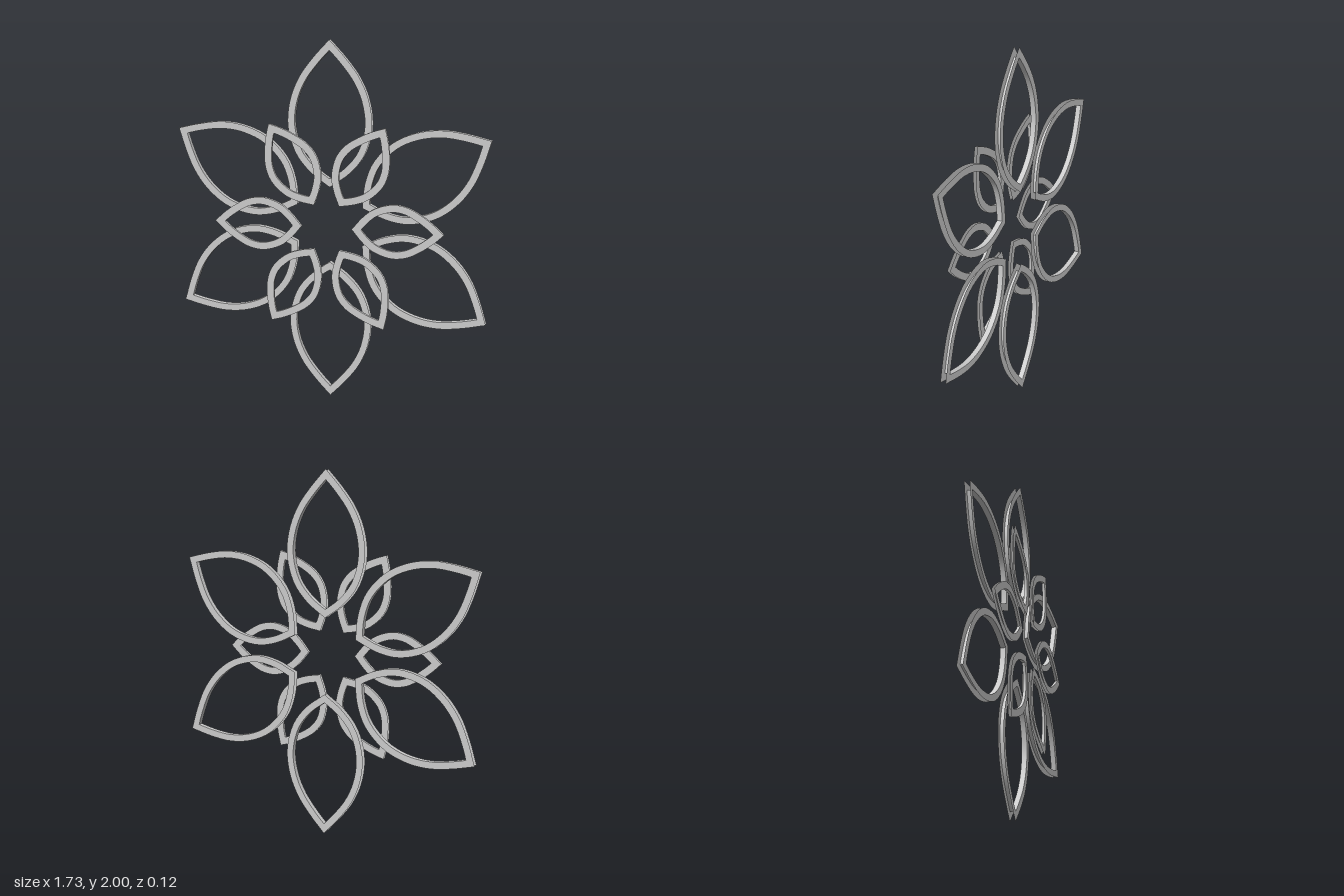
import * as THREE from 'three';
import { toCreasedNormals } from 'three/addons/utils/BufferGeometryUtils.js';

const material = new THREE.MeshStandardMaterial({ color: 0xcccccc, side: THREE.DoubleSide });

// Closed outer and inner loops of a pointed petal lying along +x,
// from a half profile of [distance from centre, half width].
function petalLoops(profile, band) {
  const curve = new THREE.CatmullRomCurve3(profile.map(([r, w]) => new THREE.Vector3(r, w, 0)));
  const n = 28;
  const outer = [], inner = [];
  for (let i = 0; i <= n; i++) {
    const p = curve.getPointAt(i / n), t = curve.getTangentAt(i / n);
    const q = new THREE.Vector2(p.x + t.y * band, p.y - t.x * band);
    // keep the inset inside the petal, mitred on the centre line at both tips
    const first = i === 0, last = i === n;
    if (first || last) q.set(p.x + (first ? 1 : -1) * band / Math.abs(t.y), 0);
    outer.push(new THREE.Vector2(p.x, p.y));
    inner.push(q);
  }
  const a = inner[0].x, b = inner[n].x;
  inner.forEach((q) => { if (q.y <= 0) q.set(q.x < (a + b) / 2 ? a : b, 0); });
  const close = (half) => [
    ...half.map((p) => new THREE.Vector2(p.x, -p.y)),
    ...half.slice(1, -1).reverse(),
  ];
  return [close(outer), close(inner)];
}

// Open channel ring: front face, inner wall and back face
function petalGeometry(profile, band, depth) {
  const [outer, inner] = petalLoops(profile, band);
  const h = depth / 2, n = outer.length;
  const rows = [[outer, h], [inner, h], [inner, -h], [outer, -h]];
  const positions = [], index = [];
  for (const [loop, z] of rows) for (const p of loop) positions.push(p.x, p.y, z);
  for (let r = 0; r < 3; r++) {
    for (let i = 0; i < n; i++) {
      const j = (i + 1) % n;
      const a = r * n + i, b = r * n + j, c = b + n, d = a + n;
      index.push(a, b, c, a, c, d);
    }
  }
  const geometry = new THREE.BufferGeometry();
  geometry.setAttribute('position', new THREE.Float32BufferAttribute(positions, 3));
  geometry.setIndex(index);
  return toCreasedNormals(geometry, 0.6);
}

// Six petals around the centre
function petalRing(name, geometry, startAngle, z) {
  const ring = new THREE.Group();
  ring.name = name + 's';
  for (let i = 0; i < 6; i++) {
    const petal = new THREE.Mesh(geometry, material);
    petal.name = name;
    petal.rotation.z = startAngle + i * Math.PI / 3;
    ring.add(petal);
  }
  ring.position.set(0, 1, z);
  ring.rotation.x = 0.0128; // slight lean
  return ring;
}

export function createModel() {
  const model = new THREE.Group();
  model.name = 'flowerOrnament';

  const large = petalGeometry([
    [0.21, 0], [0.29, 0.11], [0.39, 0.19], [0.54, 0.232],
    [0.68, 0.217], [0.8, 0.167], [0.9, 0.093], [1, 0],
  ], 0.038, 0.03);
  const small = petalGeometry([
    [0.14, 0], [0.2, 0.07], [0.26, 0.117], [0.36, 0.148],
    [0.44, 0.138], [0.505, 0.107], [0.58, 0.055], [0.64, 0],
  ], 0.04, 0.016);

  model.add(petalRing('largePetal', large, Math.PI / 6, -0.03));
  model.add(petalRing('smallPetal', small, 0, 0.045));
  return model;
}
